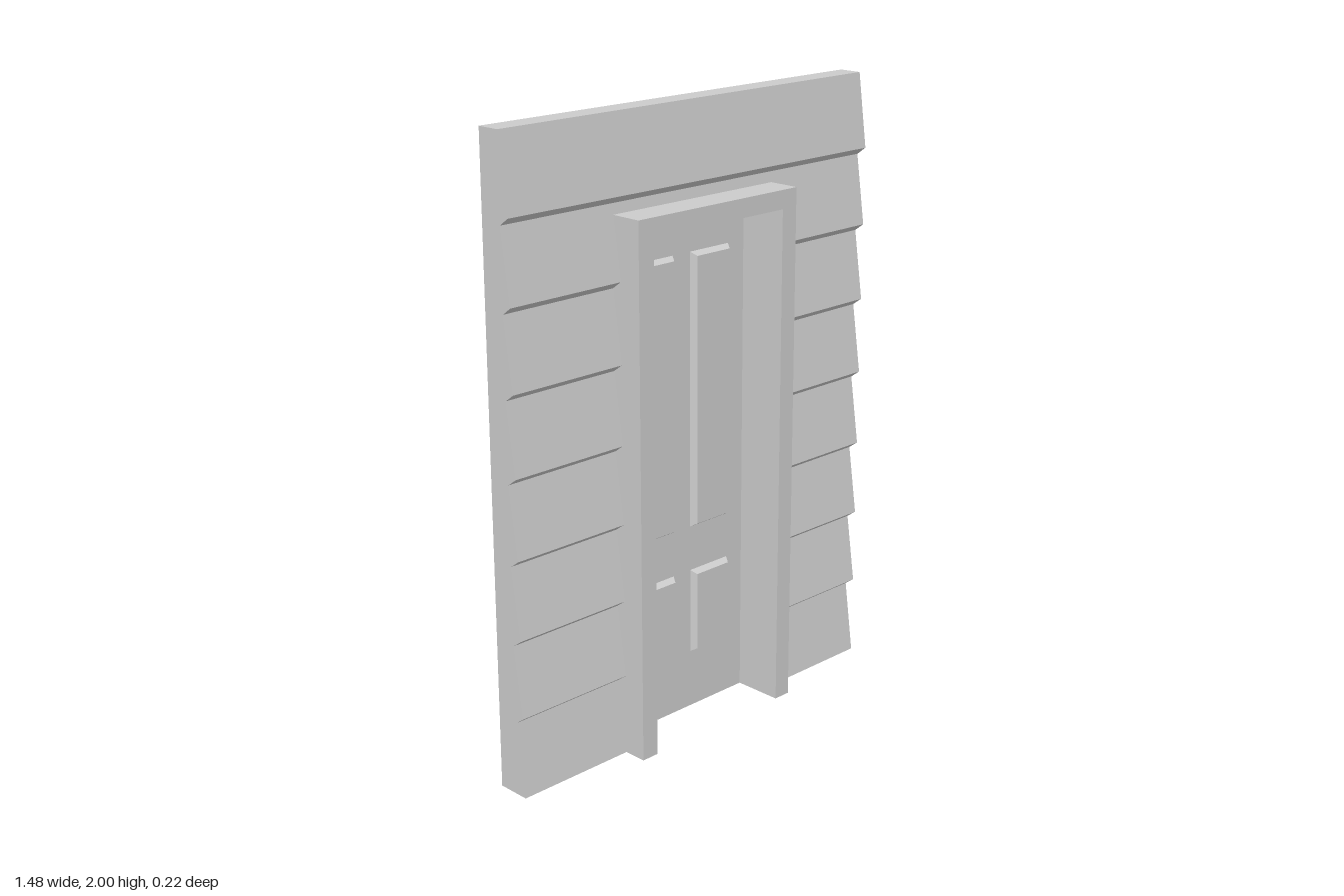
import * as THREE from 'three';

const material = new THREE.MeshStandardMaterial({ color: 0xcccccc, flatShading: true });
const WALL_BACK = -0.077, LIP = 0.033, PITCH = 0.25, STEP = 0.012;
const DOOR = { halfWidth: 0.27, height: 1.645, back: -0.085, front: -0.055 };
const FRAME = { halfWidth: 0.33, height: 1.705, back: -0.108, front: 0.11 };

function addMesh(parent, name, geometry) {
  const mesh = new THREE.Mesh(geometry, material);
  mesh.name = name;
  parent.add(mesh);
  return mesh;
}

// Clapboard wall section: a (z, y) saw-tooth profile from yMin to the top, extruded along x
function wallSection(x0, x1, yMin) {
  const points = [[WALL_BACK, yMin]];
  for (let i = 0; i < 8; i++) {
    const bottom = i === 0 ? 0 : i * PITCH + STEP;
    const top = i === 7 ? 2 : (i + 1) * PITCH - STEP;
    if (top <= yMin) continue;
    const start = Math.max(bottom, yMin);
    points.push([LIP * (top - start) / (top - bottom), start], [0, top]);
  }
  points.push([WALL_BACK, 2]);
  const shape = new THREE.Shape(points.map(([z, y]) => new THREE.Vector2(z, y)));
  const geometry = new THREE.ExtrudeGeometry(shape, { depth: x1 - x0, bevelEnabled: false });
  return geometry.rotateY(-Math.PI / 2).translate(x1, 0, 0);
}

// Raised panel: a box whose +z face is drawn in to give sloped edges
function raisedPanel(width, height, depth, inset) {
  const geometry = new THREE.BoxGeometry(width, height, depth);
  const p = geometry.attributes.position;
  for (let i = 0; i < p.count; i++) {
    if (p.getZ(i) > 0) {
      p.setX(i, p.getX(i) - Math.sign(p.getX(i)) * inset);
      p.setY(i, p.getY(i) - Math.sign(p.getY(i)) * inset);
    }
  }
  geometry.computeVertexNormals();
  return geometry.translate(0, 0, depth / 2);
}

export function createModel() {
  const model = new THREE.Group();
  model.name = 'doorInWall';

  // Siding on both sides of and above the door frame
  const siding = new THREE.Group();
  siding.name = 'siding';
  addMesh(siding, 'rightSiding', wallSection(-0.74, -FRAME.halfWidth, 0));
  addMesh(siding, 'leftSiding', wallSection(FRAME.halfWidth, 0.74, 0));
  addMesh(siding, 'upperSiding', wallSection(-FRAME.halfWidth, FRAME.halfWidth, FRAME.height));
  model.add(siding);

  // Door frame: one upside-down U, deeper than the wall
  const outline = new THREE.Shape([
    [-FRAME.halfWidth, 0], [-DOOR.halfWidth, 0], [-DOOR.halfWidth, DOOR.height],
    [DOOR.halfWidth, DOOR.height], [DOOR.halfWidth, 0], [FRAME.halfWidth, 0],
    [FRAME.halfWidth, FRAME.height], [-FRAME.halfWidth, FRAME.height],
  ].map(([x, y]) => new THREE.Vector2(x, y)));
  const frame = new THREE.ExtrudeGeometry(outline, { depth: FRAME.front - FRAME.back, bevelEnabled: false });
  addMesh(model, 'doorFrame', frame.translate(0, 0, FRAME.back));

  // Door leaf with four raised panels on each face
  const door = new THREE.Group();
  door.name = 'door';
  const leaf = addMesh(door, 'doorLeaf',
    new THREE.BoxGeometry(2 * DOOR.halfWidth, DOOR.height, DOOR.front - DOOR.back));
  leaf.position.set(0, DOOR.height / 2, (DOOR.front + DOOR.back) / 2);
  for (const [label, y0, y1] of [['lower', 0.195, 0.48], ['upper', 0.63, 1.525]]) {
    for (const side of [-1, 1]) {
      for (const face of ['Front', 'Back']) {
        const panel = addMesh(door, `${label}Panel${face}`, raisedPanel(0.164, y1 - y0, 0.02, 0.012));
        panel.position.set(side * 0.119, (y0 + y1) / 2, face === 'Front' ? DOOR.front : DOOR.back);
        if (face === 'Back') panel.rotation.y = Math.PI;
      }
    }
  }
  model.add(door);
  return model;
}
